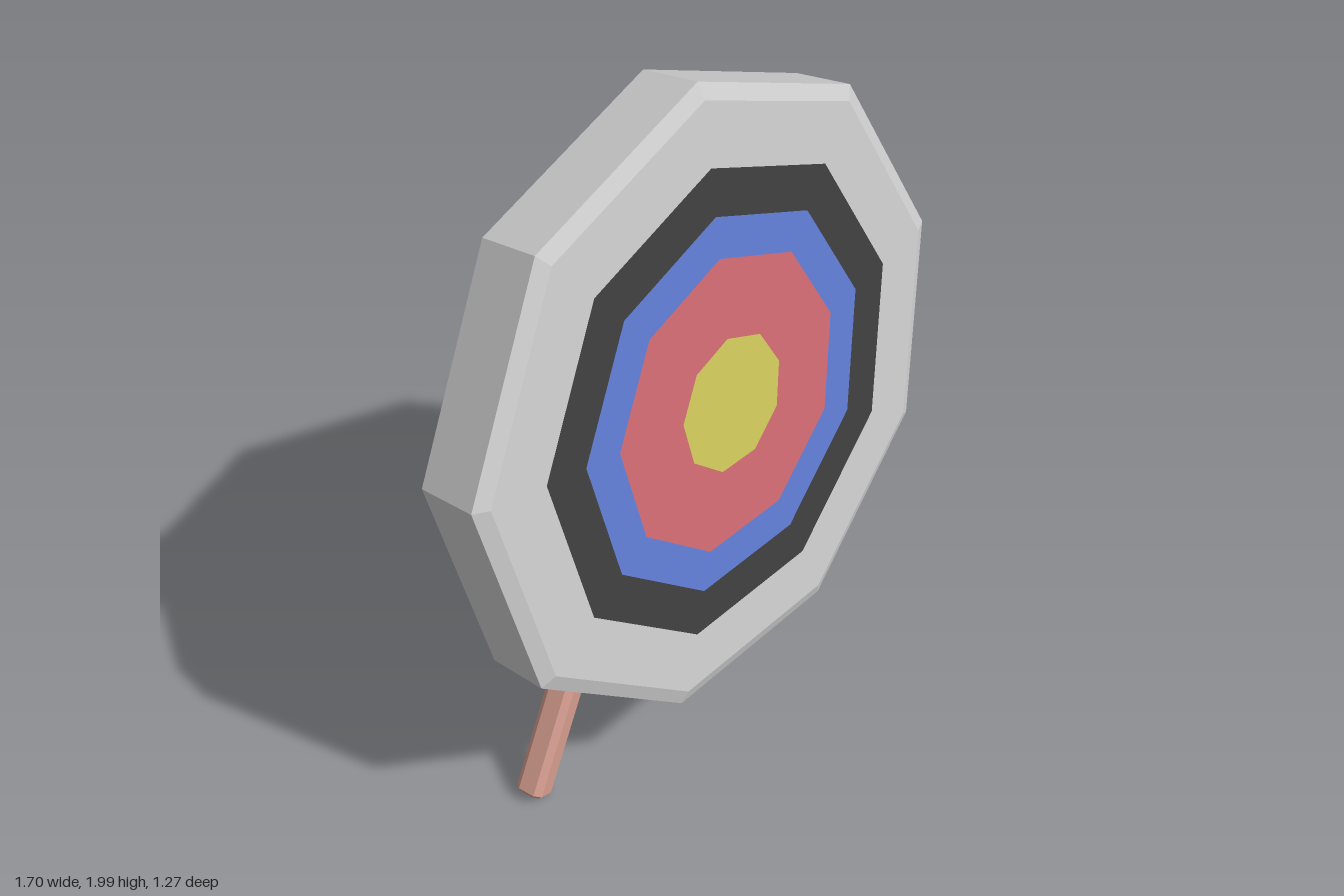
import * as THREE from 'three';

const mat = (color, extra = {}) => new THREE.MeshStandardMaterial({ color, flatShading: true, ...extra });
const SIDES = 9;

// Nine-sided board with bevelled rims and coloured rings, facing +z before it is tilted
function makeBoard() {
  const board = new THREE.Group();
  board.name = 'targetBoard';
  const grey = mat(0xcccccc);

  // Back face, back bevel, rim, front bevel
  const profile = [[0, -0.101], [0.818, -0.101], [0.861, -0.086], [0.861, 0.086], [0.818, 0.103]]
    .map(([r, h]) => new THREE.Vector2(r, h));
  const body = new THREE.Mesh(new THREE.LatheGeometry(profile, SIDES, Math.PI, Math.PI * 2), grey);
  body.rotation.x = Math.PI / 2;
  body.name = 'boardBody';
  board.add(body);

  // Front face: flush concentric rings
  const rings = [
    ['outerFace', 0.649, 0.818, grey],
    ['blackRing', 0.523, 0.649, mat(0x3e3e3e)],
    ['blueRing', 0.411, 0.523, mat(0x607cd2)],
    ['redRing', 0.188, 0.411, mat(0xd06a70)],
    ['bullseye', 0, 0.188, mat(0xd0c85b)],
  ];
  for (const [name, inner, outer, material] of rings) {
    const geo = inner > 0
      ? new THREE.RingGeometry(inner, outer, SIDES, 1, Math.PI / 2)
      : new THREE.CircleGeometry(outer, SIDES, Math.PI / 2);
    const ring = new THREE.Mesh(geo, material);
    ring.position.z = 0.103;
    ring.name = name;
    board.add(ring);
  }

  board.position.set(0, 1.137, 0.403);
  board.rotation.x = -THREE.MathUtils.degToRad(10);
  return board;
}

// Chamfered square bar running from foot to top
function makeLeg(name, foot, top, width, depth, material) {
  const a = new THREE.Vector3(...foot), b = new THREE.Vector3(...top);
  const bevel = 0.01, chamfer = 0.012;
  const w = width / 2 - bevel, d = depth / 2 - bevel;
  const shape = new THREE.Shape([
    [w - chamfer, -d], [w, -d + chamfer], [w, d - chamfer], [w - chamfer, d],
    [-w + chamfer, d], [-w, d - chamfer], [-w, -d + chamfer], [-w + chamfer, -d],
  ].map(([x, y]) => new THREE.Vector2(x, y)));
  const geo = new THREE.ExtrudeGeometry(shape, {
    depth: a.distanceTo(b) - 2 * bevel, bevelEnabled: true,
    bevelThickness: bevel, bevelSize: bevel, bevelSegments: 1,
  });
  geo.translate(0, 0, bevel);
  const leg = new THREE.Mesh(geo, material);
  leg.position.copy(a);
  leg.lookAt(b);
  leg.name = name;
  return leg;
}

export function createModel() {
  const model = new THREE.Group();
  model.name = 'archeryTarget';
  model.add(makeBoard());

  // Tripod stand, its front legs uneven in length
  const wood = mat(0xd49c8e);
  const stand = new THREE.Group();
  stand.name = 'tripodStand';
  stand.add(
    makeLeg('rightFrontLeg', [-0.602, 0.021, 0.36], [0.04, 1.195, 0.243], 0.085, 0.085, wood),
    makeLeg('leftFrontLeg', [0.506, 0.1, 0.367], [0.015, 1.2, 0.243], 0.085, 0.085, wood),
    makeLeg('backLeg', [0.004, 0.17, -0.607], [0.015, 1.115, 0.256], 0.09, 0.075, wood),
  );
  model.add(stand);
  return model;
}
